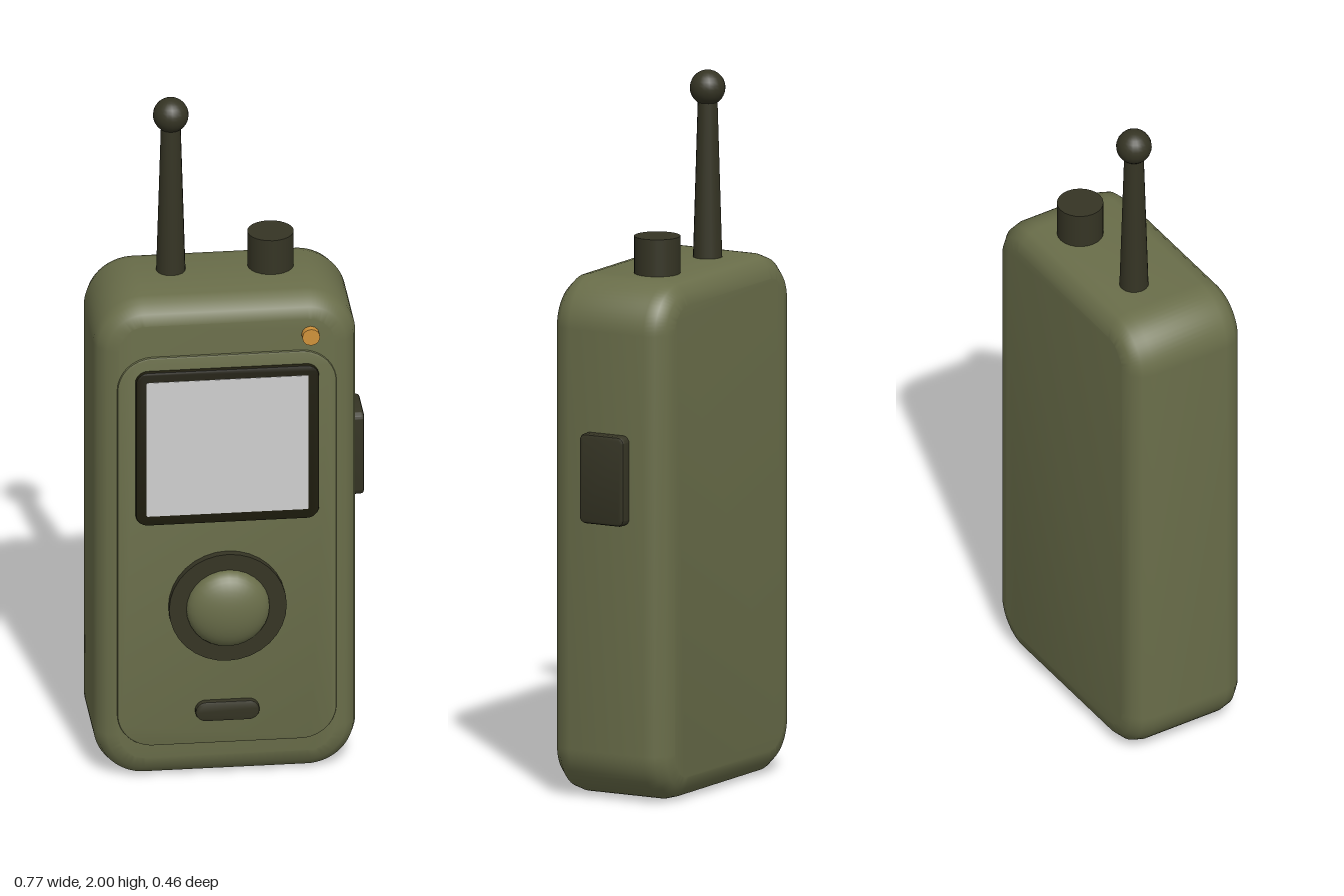
import * as THREE from 'three';
import { toCreasedNormals } from 'three/addons/utils/BufferGeometryUtils.js';

export function createModel() {
  const group = new THREE.Group();
  const material = (name, color) => {
    const m = new THREE.MeshStandardMaterial({ color });
    m.name = name;
    return m;
  };
  const olive = material('olive', 0x6a6e4a);
  const dark = material('dark olive', 0x353424);
  const black = material('frame black', 0x1f1d0e);
  const grey = material('screen grey', 0xcfcfcf);
  const orange = material('orange', 0xd0923a);

  const add = (name, geometry, mat, x = 0, y = 0, z = 0) => {
    const mesh = new THREE.Mesh(geometry, mat);
    mesh.name = name;
    mesh.position.set(x, y, z);
    group.add(mesh);
    return mesh;
  };

  // Rounded slab of outer size w x h x d with radius r, bevelled and centred
  function slab(w, h, d, r, bevel, segments = 3) {
    const a = w / 2 - bevel, b = h / 2 - bevel, c = Math.max(r - bevel, 0.001);
    const s = new THREE.Shape();
    s.absarc(a - c, b - c, c, 0, Math.PI / 2);
    s.absarc(-a + c, b - c, c, Math.PI / 2, Math.PI);
    s.absarc(-a + c, -b + c, c, Math.PI, Math.PI * 1.5);
    s.absarc(a - c, -b + c, c, Math.PI * 1.5, Math.PI * 2);
    const g = new THREE.ExtrudeGeometry(s, {
      depth: d - 2 * bevel, bevelEnabled: bevel > 0, bevelSize: bevel,
      bevelThickness: bevel, bevelSegments: segments, curveSegments: 8,
    });
    g.translate(0, 0, bevel - d / 2);
    return toCreasedNormals(g, 0.62);
  }

  // Case and raised front panel
  add('body', slab(0.735, 1.47, 0.37, 0.14, 0.065), olive, -0.0175, 0.735, -0.045);
  add('frontPanel', slab(0.615, 1.205, 0.03, 0.1, 0.005, 2), olive, -0.0175, 0.7075, 0.132);

  // Display
  add('screenFrame', slab(0.515, 0.475, 0.03, 0.035, 0.005, 2), black, -0.0175, 1.0325, 0.145);
  add('screen', slab(0.455, 0.415, 0.004, 0.004, 0), grey, -0.0175, 1.0325, 0.1595);

  // Round button: flat ring with a domed centre
  add('buttonRing', new THREE.CylinderGeometry(0.165, 0.165, 0.04, 32), dark, -0.0175, 0.535, 0.15)
    .rotation.x = Math.PI / 2;
  const dome = add('buttonDome', new THREE.SphereGeometry(0.117, 28, 10, 0, Math.PI * 2, 0, Math.PI / 2),
    olive, -0.0175, 0.535, 0.169);
  dome.rotation.x = Math.PI / 2;
  dome.scale.y = 0.5;

  // Small front details
  add('slotButton', slab(0.18, 0.06, 0.03, 0.03, 0.005, 2), dark, -0.0175, 0.21, 0.148);
  add('indicatorLight', new THREE.CylinderGeometry(0.025, 0.025, 0.03, 12), orange, 0.217, 1.357, 0.146)
    .rotation.x = Math.PI / 2;

  // Side key on the left flank
  add('sideKey', slab(0.145, 0.255, 0.06, 0.02, 0.01, 2), dark, 0.352, 0.9175, -0.0475)
    .rotation.y = Math.PI / 2;

  // Knob and tapered antenna on top
  add('knob', new THREE.CylinderGeometry(0.065, 0.065, 0.13, 24), dark, 0.13, 1.51, -0.083);
  add('antenna', new THREE.CylinderGeometry(0.027, 0.042, 0.5, 16), dark, -0.15, 1.69, -0.083);
  add('antennaTip', new THREE.SphereGeometry(0.05, 20, 14), dark, -0.15, 1.95, -0.083);

  return group;
}
